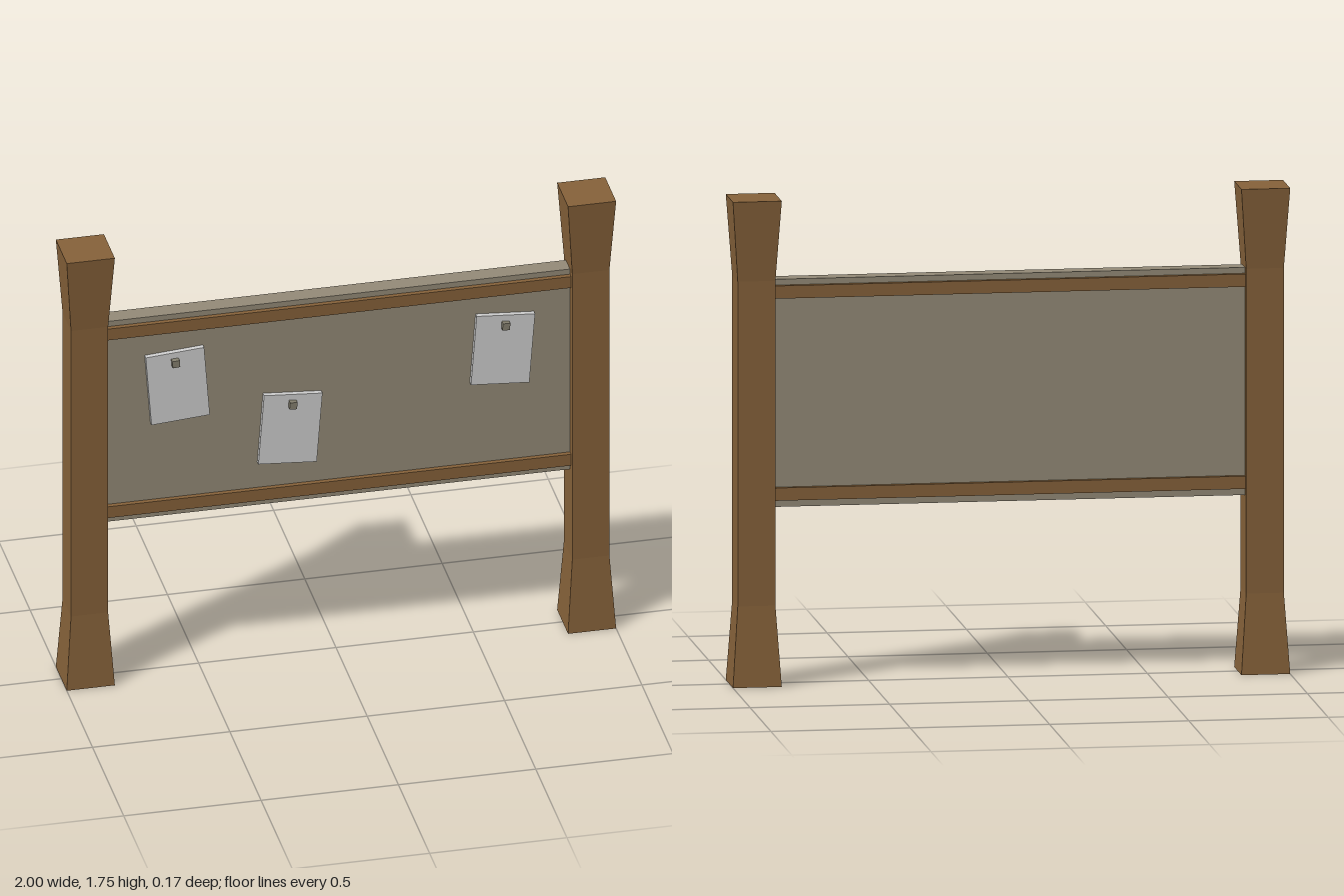
import * as THREE from 'three';

export function createModel() {
  const model = new THREE.Group();
  model.name = 'noticeBoard';

  const material = (name, color) => {
    const m = new THREE.MeshStandardMaterial({ color });
    m.name = name;
    return m;
  };
  const wood = material('brown wood', 0x86623a);
  const boardGrey = material('weathered board', 0x948b78);
  const paperWhite = material('paper', 0xd0d0d0);
  const pinGrey = material('pin', 0x85806f);

  const add = (parent, name, geometry, mat, x, y, z) => {
    const mesh = new THREE.Mesh(geometry, mat);
    mesh.name = name;
    mesh.position.set(x, y, z);
    parent.add(mesh);
    return mesh;
  };
  const box = (w, h, d) => new THREE.BoxGeometry(w, h, d);

  // Square posts, flared at the foot and the head
  const profile = [[0, 0], [0.0875, 0], [0.0675, 0.29], [0.0675, 1.46], [0.0875, 1.75], [0, 1.75]]
    .map(([half, y]) => new THREE.Vector2(half * Math.SQRT2, y));
  const postGeometry = new THREE.LatheGeometry(profile, 4, Math.PI / 4).toNonIndexed();
  postGeometry.computeVertexNormals();
  add(model, 'leftPost', postGeometry, wood, 0.9125, 0, 0);
  add(model, 'rightPost', postGeometry, wood, -0.9125, 0, 0);

  // Board between the posts
  add(model, 'board', box(1.72, 0.82, 0.066), boardGrey, 0, 1.05, -0.003);

  // Rails along the top and bottom, on both faces
  for (const [place, y] of [['top', 1.416], ['bottom', 0.688]]) {
    add(model, place + 'FrontRail', box(1.72, 0.046, 0.02), wood, 0, y, 0.038);
    add(model, place + 'BackRail', box(1.72, 0.046, 0.02), wood, 0, y, -0.044);
  }

  // Tilted notices, each held by a square pin
  const notices = [
    [-0.587, 1.173, 0.075, -0.597, 1.275],
    [-0.177, 0.947, -0.075, -0.17, 1.05],
    [0.597, 1.173, -0.075, 0.605, 1.275],
  ];
  for (const [x, y, tilt, pinX, pinY] of notices) {
    const notice = new THREE.Group();
    notice.name = 'notice';
    add(notice, 'paper', box(0.213, 0.279, 0.02), paperWhite, x, y, 0.039).rotation.z = tilt;
    add(notice, 'pin', box(0.027, 0.027, 0.022), pinGrey, pinX, pinY, 0.058).rotation.z = tilt;
    model.add(notice);
  }

  return model;
}
